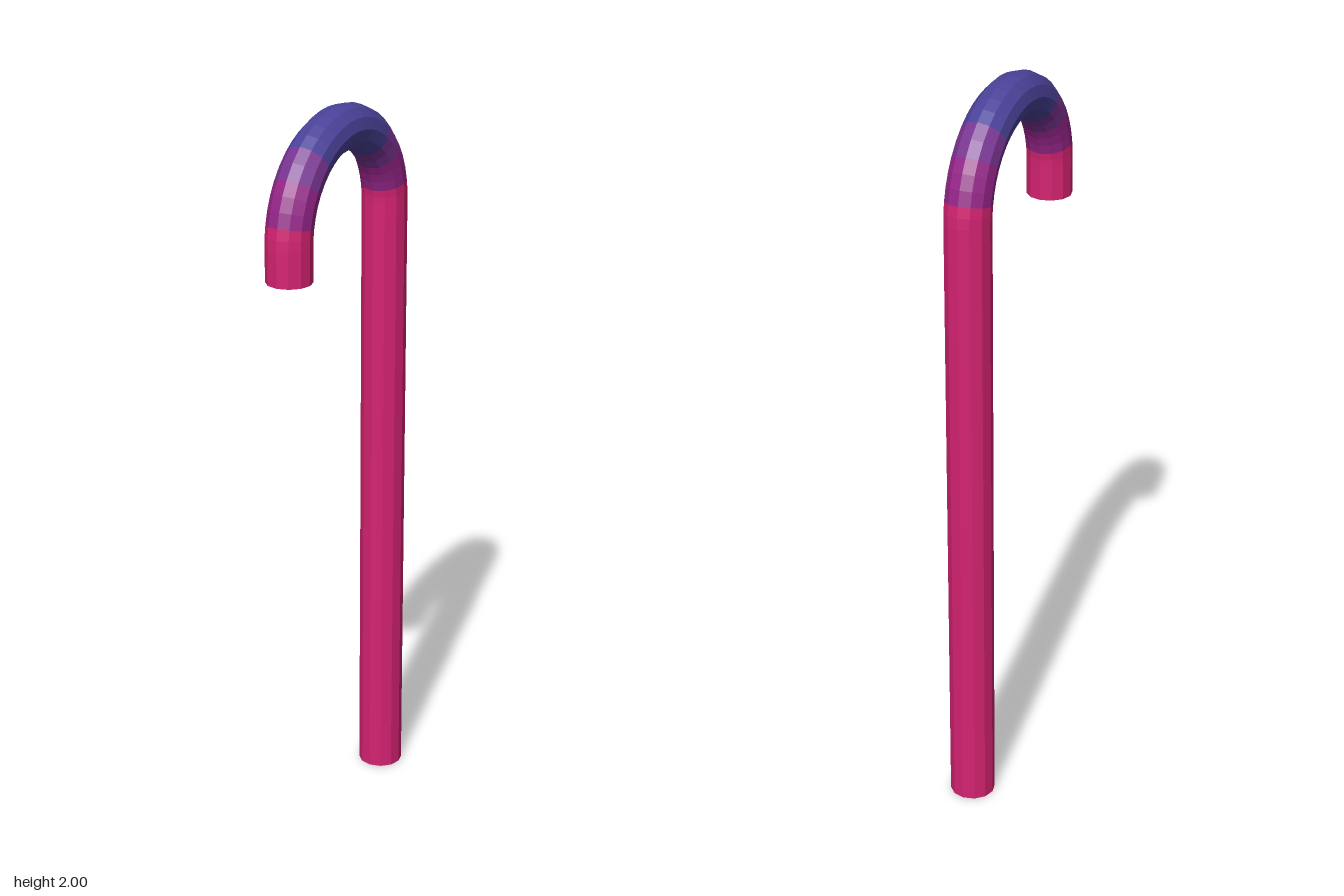
import * as THREE from 'three';

const TUBE = 0.061, BEND = 0.244, CENTER_Y = 1.695, SIDES = 12;

export function createModel() {
  const group = new THREE.Group();
  group.name = 'cane';

  const makeMaterial = (name, color) => {
    const m = new THREE.MeshStandardMaterial({ color });
    m.name = name;
    m.flatShading = true;
    return m;
  };
  const pink = makeMaterial('pink', 0xd42371);
  const magenta = makeMaterial('magenta', 0x952488);
  const violet = makeMaterial('violet', 0x783391);
  const blue = makeMaterial('blue', 0x4a4299);

  const add = (name, geometry, material) => {
    const mesh = new THREE.Mesh(geometry, material);
    mesh.name = name;
    group.add(mesh);
  };

  // Straight tube with a cap on its lower end
  const straight = (name, z, bottom) => {
    const h = CENTER_Y - bottom;
    const tube = new THREE.CylinderGeometry(TUBE, TUBE, h, SIDES, 1, true);
    add(name, tube.translate(0, bottom + h / 2, z), pink);
    const cap = new THREE.CircleGeometry(TUBE, SIDES);
    cap.rotateZ(Math.PI / 2).rotateX(Math.PI / 2).translate(0, bottom, z);
    add(name + 'Cap', cap, pink);
  };
  straight('shaft', -BEND, 0);
  straight('hookEnd', BEND, 1.6);

  // Curved handle, in coloured bands from the hook end over to the shaft
  const bands = [
    ['hookPinkBand', 0, 11, 2, pink],
    ['hookMagentaBand', 11, 34, 3, magenta],
    ['hookVioletBand', 34, 52, 2, violet],
    ['crownBand', 52, 128, 10, blue],
    ['shaftVioletBand', 128, 146, 2, violet],
    ['shaftMagentaBand', 146, 169, 3, magenta],
    ['shaftPinkBand', 169, 180, 2, pink],
  ];
  for (const [name, from, to, segments, material] of bands) {
    const arc = THREE.MathUtils.degToRad(to - from);
    const geometry = new THREE.TorusGeometry(BEND, TUBE, SIDES, segments, arc);
    geometry.rotateZ(THREE.MathUtils.degToRad(from)).rotateY(-Math.PI / 2);
    add(name, geometry.translate(0, CENTER_Y, 0), material);
  }
  return group;
}
